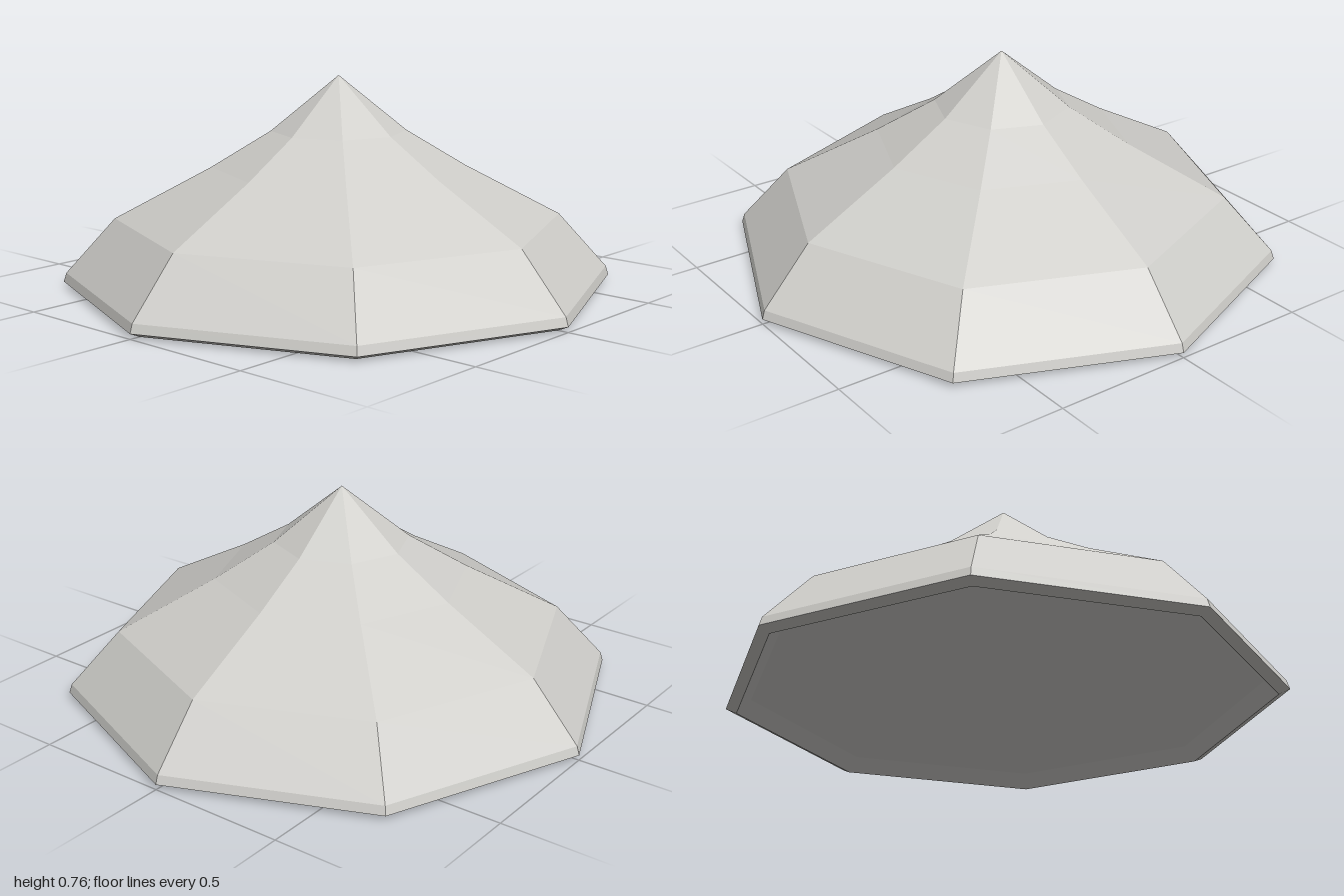
import * as THREE from 'three';

export function createModel() {
  const group = new THREE.Group();
  const grey = new THREE.MeshStandardMaterial({ color: 0xcfceca, flatShading: true });
  grey.name = 'pale grey';

  // Eight-sided ring swept from [radius, height] points, corners on the axes
  function addLathe(name, profile) {
    const points = profile.map(([r, y]) => new THREE.Vector2(r, y));
    const mesh = new THREE.Mesh(new THREE.LatheGeometry(points, 8), grey);
    mesh.name = name;
    group.add(mesh);
  }

  // Outer roof: steep skirt, gentle slope, pointed peak
  addLathe('outerRoof', [[0.99, 0.05], [0.81, 0.25], [0.46, 0.435], [0.245, 0.565], [0, 0.765]]);

  // Thin rim: bevelled underside and upright band
  addLathe('rim', [[0.96, 0], [1, 0.018], [0.99, 0.05]]);

  // Hollow inside: straight conical ceiling and a sloping lip
  addLathe('innerCeiling', [[0, 0.7], [0.91, 0.05]]);
  addLathe('innerLip', [[0.91, 0.05], [0.96, 0]]);

  return group;
}
